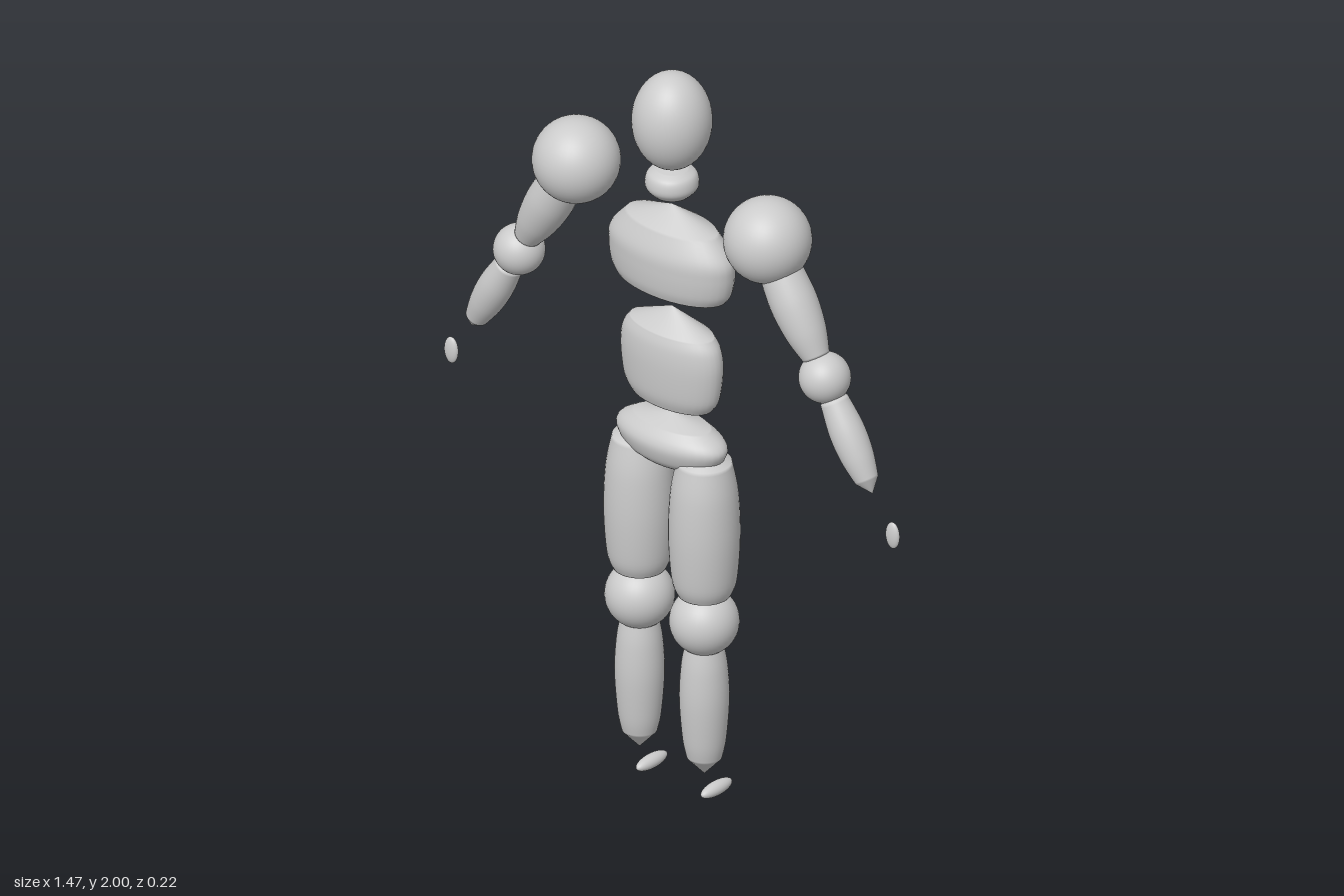
import * as THREE from 'three';

const material = new THREE.MeshStandardMaterial({ color: 0xcccccc });

// Ellipsoid bead
function bead(name, x, y, z, rx, ry, rz) {
  const mesh = new THREE.Mesh(new THREE.SphereGeometry(1, 40, 28).scale(rx, ry, rz), material);
  mesh.name = name;
  mesh.position.set(x, y, z);
  return mesh;
}

// Muscle-like segment: smooth rings [radius, height] closed by a blunt cone at each end
function segment(name, bottom, rings, top, depth = 1) {
  const curve = new THREE.SplineCurve(rings.map(([r, y]) => new THREE.Vector2(r, y)));
  const profile = [new THREE.Vector2(0, bottom), ...curve.getPoints(24), new THREE.Vector2(0, top)];
  const mesh = new THREE.Mesh(new THREE.LatheGeometry(profile, 36).scale(1, 1, depth), material);
  mesh.name = name;
  return mesh;
}

// Stand a segment at "from", its axis running towards "to"
function aim(mesh, from, to) {
  mesh.position.set(from[0], from[1], 0);
  mesh.rotation.z = Math.atan2(from[0] - to[0], to[1] - from[1]);
  return mesh;
}

export function createModel() {
  const model = new THREE.Group();
  model.name = 'jointedFigure';

  // Head and neck
  model.add(bead('head', 0, 1.87, 0, 0.1, 0.13, 0.1));
  model.add(segment('neck', 1.655,
    [[0.045, 1.665], [0.064, 1.685], [0.067, 1.705], [0.06, 1.725], [0.04, 1.737]], 1.745));

  // Trunk
  model.add(segment('chest', 1.375,
    [[0.165, 1.412], [0.182, 1.44], [0.19, 1.49], [0.184, 1.535], [0.137, 1.59]], 1.637, 0.48));
  model.add(segment('abdomen', 1.06,
    [[0.12, 1.092], [0.144, 1.13], [0.155, 1.21], [0.148, 1.265], [0.127, 1.297]], 1.352, 0.47));
  model.add(segment('pelvis', 0.918,
    [[0.11, 0.93], [0.145, 0.95], [0.166, 0.985], [0.155, 1.01], [0.115, 1.035]], 1.058, 0.5));

  for (const side of [1, -1]) {
    const limb = (name) => (side > 0 ? 'left' : 'right') + name;
    const shoulder = [0.31 * side, 1.648];
    const elbow = [0.495 * side, 1.33];
    const wrist = [0.65 * side, 1.06];

    // Arm
    model.add(bead(limb('Shoulder'), ...shoulder, 0, 0.11, 0.11, 0.11));
    model.add(aim(segment(limb('UpperArm'), 0.03,
      [[0.035, 0.055], [0.052, 0.12], [0.06, 0.2], [0.055, 0.28]], 0.33), elbow, shoulder));
    model.add(bead(limb('Elbow'), ...elbow, 0, 0.065, 0.065, 0.065));
    model.add(aim(segment(limb('Forearm'), 0,
      [[0.03, 0.037], [0.042, 0.1], [0.045, 0.17], [0.036, 0.25]], 0.29), wrist, elbow));
    model.add(bead(limb('Hand'), 0.715 * side, 0.967, 0, 0.021, 0.036, 0.011));

    // Leg
    const x = 0.105 * side;
    const thigh = segment(limb('Thigh'), 0.55,
      [[0.066, 0.585], [0.081, 0.63], [0.089, 0.75], [0.084, 0.87], [0.068, 0.955]], 0.99);
    const shin = segment(limb('Shin'), 0.08,
      [[0.044, 0.128], [0.054, 0.18], [0.062, 0.29], [0.058, 0.38], [0.048, 0.44]], 0.47);
    thigh.position.x = shin.position.x = x;
    model.add(thigh, shin);
    model.add(bead(limb('Knee'), x, 0.508, 0, 0.087, 0.087, 0.087));
    model.add(bead(limb('Foot'), x, 0.02, -0.045, 0.019, 0.018, 0.055));
  }
  return model;
}
